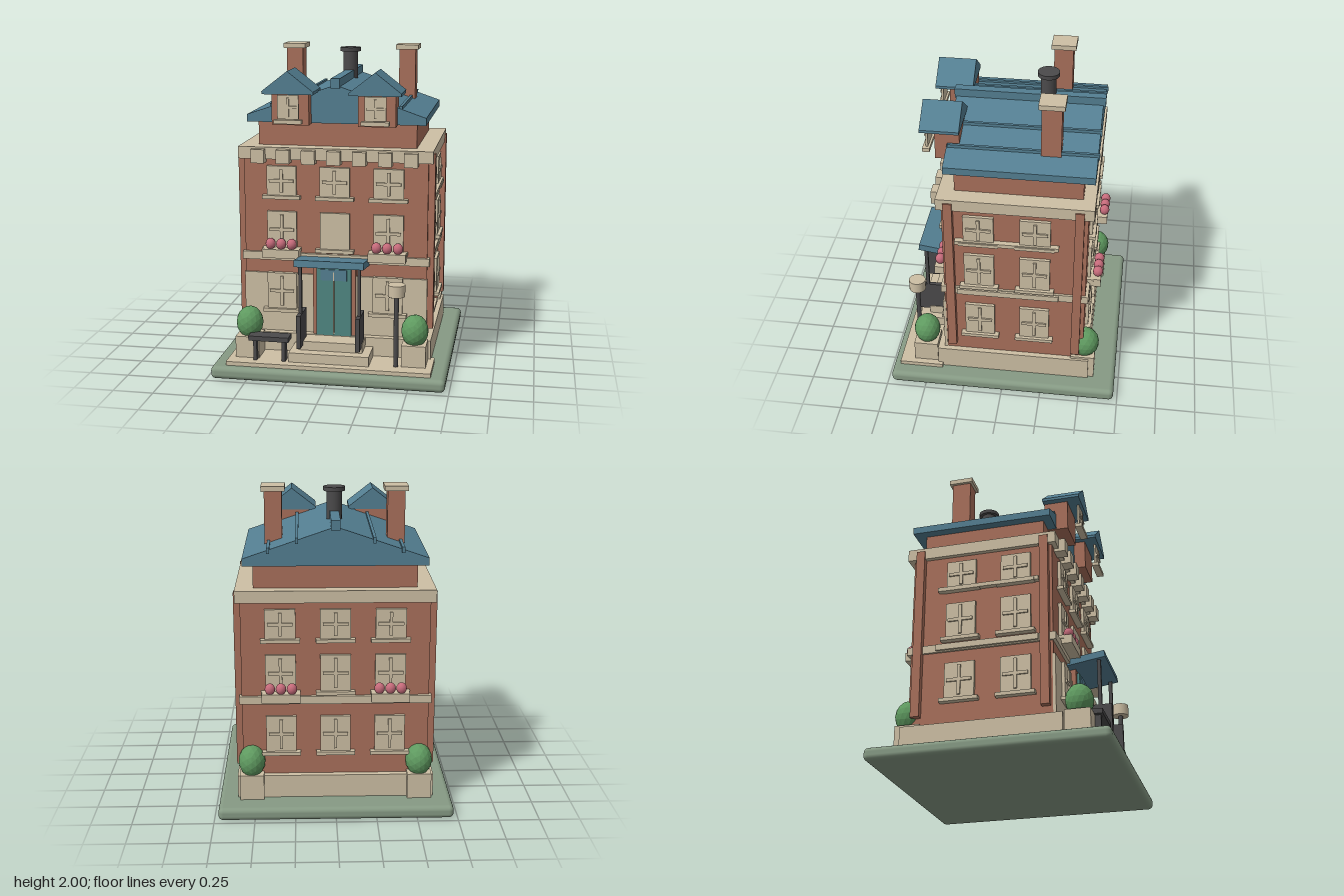
import * as THREE from 'three';
import { RoundedBoxGeometry } from 'three/addons/geometries/RoundedBoxGeometry.js';

const mat = (name, color) => {
  const m = new THREE.MeshStandardMaterial({ color });
  m.name = name;
  return m;
};

export function createModel() {
  const brick = mat('brick', 0xa9705b), stone = mat('stone', 0xcdbfa4), slate = mat('slate blue', 0x547f92);
  const lawn = mat('lawn green', 0x869a84), teal = mat('door teal', 0x4f8682), iron = mat('iron', 0x4b4a4b);
  const leaf = mat('leaf green', 0x5f9a60), bloom = mat('bloom pink', 0xc66b7b);
  leaf.flatShading = true;

  const root = new THREE.Group();
  root.name = 'townhouse';
  const add = (name, geo, m, parent = root) => {
    const mesh = new THREE.Mesh(geo, m);
    mesh.name = name;
    parent.add(mesh);
    return mesh;
  };
  // Box given by its extents on each axis
  const box = (name, m, x0, x1, y0, y1, z0, z1, parent) => {
    const b = add(name, new THREE.BoxGeometry(x1 - x0, y1 - y0, z1 - z0), m, parent);
    b.position.set((x0 + x1) / 2, (y0 + y1) / 2, (z0 + z1) / 2);
    return b;
  };
  const cyl = (name, m, r0, r1, y0, y1, x, z, sides = 20) => {
    const c = add(name, new THREE.CylinderGeometry(r1, r0, y1 - y0, sides), m);
    c.position.set(x, (y0 + y1) / 2, z);
    return c;
  };
  // Profile in x/y, extruded from z0 to z1
  const prism = (name, m, pts, z0, z1) => {
    const shape = new THREE.Shape(pts.map(p => new THREE.Vector2(...p)));
    const geo = new THREE.ExtrudeGeometry(shape, { depth: z1 - z0, bevelEnabled: false });
    geo.translate(0, 0, z0);
    return add(name, geo, m);
  };

  // Ground
  add('lawn', new RoundedBoxGeometry(1.45, 0.08, 1.45, 3, 0.03), lawn).position.y = 0.04;
  box('paving', stone, -0.635, 0.635, 0.075, 0.105, 0.40, 0.68);
  box('plinth', stone, -0.61, 0.61, 0.075, 0.225, -0.55, 0.43);

  // Walls and mouldings
  box('walls', brick, -0.575, 0.575, 0.22, 1.36, -0.51, 0.375);
  box('beltCourse', stone, -0.59, 0.59, 0.69, 0.74, -0.53, 0.395);
  box('cornice', stone, -0.605, 0.605, 1.335, 1.41, -0.545, 0.403);
  box('attic', brick, -0.495, 0.495, 1.40, 1.565, -0.47, 0.305);
  for (let i = -3; i <= 3; i++) {
    const x = i * 0.158;
    box('corniceBlock', stone, x - 0.042, x + 0.042, 1.315, 1.40, 0.37, 0.445);
  }
  for (const s of [-1, 1]) {
    for (const z of [0.33, -0.46]) {
      box('pilaster', brick, s * 0.59 - 0.025, s * 0.59 + 0.025, 0.28, 1.387, z - 0.027, z + 0.027);
    }
    box('sideLedge', stone, s * 0.59 - 0.02, s * 0.59 + 0.02, 1.09, 1.115, -0.34, 0.295);
    box('sideBand', stone, s * 0.585 - 0.02, s * 0.585 + 0.02, 0.697, 0.735, -0.345, 0.29);
    box('frontFacing', stone, s * 0.357 - 0.222, s * 0.357 + 0.222, 0.22, 0.605, 0.37, 0.388);
  }

  // Windows: a plate with glazing bars and a sill, facing +z before turning
  const makeWindow = (x, z, turn, [y0, y1], bars = true) => {
    const g = new THREE.Group();
    g.name = 'window';
    const my = (y0 + y1) / 2;
    box('windowPlate', stone, -0.093, 0.093, y0, y1, -0.01, 0.02, g);
    if (bars) {
      box('glazingBarUpright', stone, -0.01, 0.01, y0 + 0.02, y1 - 0.02, 0.01, 0.03, g);
      box('glazingBarCross', stone, -0.077, 0.077, my - 0.01, my + 0.01, 0.01, 0.03, g);
    }
    box('sill', stone, -0.12, 0.12, y0 - 0.022, y0, -0.01, 0.04, g);
    g.position.set(x, 0, z);
    g.rotation.y = turn;
    root.add(g);
  };
  const floors = [[0.38, 0.61], [0.775, 1.005], [1.108, 1.292]];
  floors.forEach((f, level) => {
    for (const x of [-0.335, 0, 0.335]) {
      if (level || x) makeWindow(x, level ? 0.375 : 0.388, 0, f, !(level === 1 && x === 0));
      makeWindow(x, -0.51, Math.PI, f);
    }
    for (const z of [0.15, -0.195]) {
      makeWindow(0.575, z, Math.PI / 2, f);
      makeWindow(-0.575, z, -Math.PI / 2, f);
    }
  });

  // Flower boxes
  for (const x of [-0.333, 0.333]) for (const z of [0.425, -0.56]) {
    box('flowerBox', stone, x - 0.117, x + 0.117, 0.72, 0.775, z - 0.036, z + 0.036);
    for (const d of [-0.067, 0, 0.067]) {
      const f = add('flower', new THREE.SphereGeometry(0.032, 12, 8), bloom);
      f.position.set(x + d, 0.805, z < 0 ? z - 0.015 : z + 0.005);
      f.scale.y = 1.1;
    }
  }

  // Main roof with standing seams and ridge cap
  prism('roof', slate, [[-0.555, 1.56], [0.555, 1.56], [0.555, 1.605], [0, 1.795], [-0.555, 1.605]], -0.54, 0.36);
  for (const s of [-1, 1]) for (const x of [0.23, 0.4]) {
    const y = 1.795 - x * 0.342;
    box('roofSeam', slate, s * x - 0.009, s * x + 0.009, y - 0.02, y + 0.016, -0.55, 0.355);
  }
  box('ridgeCap', slate, -0.028, 0.028, 1.775, 1.835, -0.555, 0.37);

  // Dormers and chimneys
  for (const s of [-1, 1]) {
    const x = s * 0.265;
    box('dormer', brick, x - 0.115, x + 0.115, 1.555, 1.765, 0.285, 0.435);
    prism('dormerRoof', slate, [[-0.157, 1.75], [0.157, 1.75], [0.157, 1.768], [0, 1.89], [-0.157, 1.768]], 0.28, 0.517)
      .position.x = x;
    box('dormerWindow', stone, x - 0.065, x + 0.065, 1.60, 1.745, 0.487, 0.5);
    box('dormerBarUpright', stone, x - 0.007, x + 0.007, 1.615, 1.73, 0.495, 0.508);
    box('dormerBarCross', stone, x - 0.055, x + 0.055, 1.665, 1.68, 0.495, 0.508);
    box('dormerSill', stone, x - 0.085, x + 0.085, 1.573, 1.597, 0.475, 0.52);
    const cx = s * 0.372;
    box('chimney', brick, cx - 0.053, cx + 0.053, 1.64, 1.975, -0.325, -0.205);
    box('chimneyCap', stone, cx - 0.072, cx + 0.072, 1.97, 2.0, -0.343, -0.188);
  }
  cyl('flue', iron, 0.047, 0.047, 1.76, 1.96, 0, -0.203);
  cyl('flueCap', iron, 0.067, 0.067, 1.955, 1.98, 0, -0.203);

  // Entrance
  box('lowerStep', stone, -0.25, 0.25, 0.1, 0.165, 0.40, 0.625);
  box('upperStep', stone, -0.2, 0.2, 0.165, 0.222, 0.40, 0.56);
  box('doorSurround', brick, -0.135, 0.135, 0.22, 0.685, 0.37, 0.412);
  box('door', teal, -0.11, 0.11, 0.225, 0.665, 0.40, 0.43);
  box('doorTransom', slate, -0.083, 0.083, 0.585, 0.655, 0.425, 0.437);
  box('doorSeam', stone, -0.004, 0.004, 0.235, 0.64, 0.43, 0.439);
  const canopy = box('canopy', slate, -0.215, 0.215, 0.695, 0.738, 0.37, 0.612);
  canopy.rotation.x = -0.15;
  for (const x of [-0.183, 0.183]) {
    box('canopyPost', iron, x - 0.01, x + 0.01, 0.2, 0.705, 0.558, 0.58);
    box('railing', iron, x - 0.013, x + 0.013, 0.2, 0.41, 0.455, 0.64);
  }

  // Bench and lamp
  box('benchSeat', iron, -0.5, -0.247, 0.235, 0.265, 0.55, 0.64);
  for (const x of [-0.462, -0.282]) box('benchLeg', iron, x - 0.011, x + 0.011, 0.1, 0.24, 0.565, 0.625);
  cyl('lampPost', iron, 0.015, 0.015, 0.1, 0.56, 0.413, 0.587, 12);
  cyl('lampHead', stone, 0.053, 0.053, 0.555, 0.627, 0.413, 0.587);

  // Planters with clipped bushes
  for (const x of [-0.52, 0.52]) for (const z of [0.512, -0.51]) {
    box('planter', stone, x - 0.075, x + 0.075, z < 0 ? 0.08 : 0.1, 0.24, z - 0.077, z + 0.077);
    const bush = add('bush', new THREE.IcosahedronGeometry(1, 2), leaf);
    bush.scale.set(0.084, 0.102, z < 0 ? 0.09 : 0.084);
    bush.position.set(x, 0.315, z < 0 ? -0.52 : z);
  }
  return root;
}
